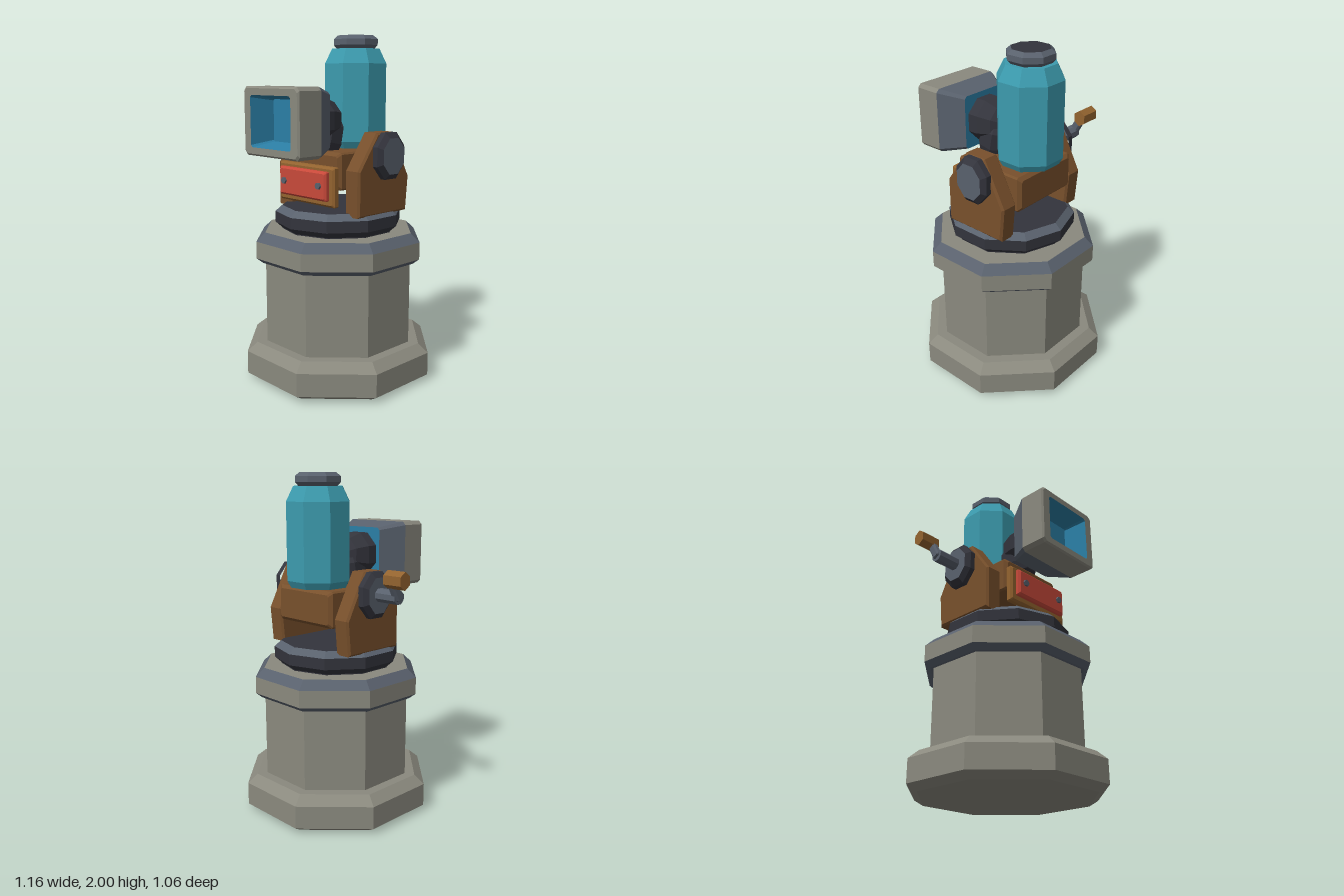
import * as THREE from 'three';

const GREY = 0x8a897e, SLATE = 0x59616d, DARK = 0x33343c, BROWN = 0x78502c,
  TAN = 0x93632f, TEAL = 0x3c9bae, BLUE = 0x2b7fa6, RED = 0xc8493a;

function mesh(name, geometry, color) {
  const m = new THREE.Mesh(geometry, new THREE.MeshStandardMaterial({ color, flatShading: true }));
  m.name = name;
  return m;
}

// Faceted solid of revolution; rows are [radius, y] from bottom to top
function turned(name, color, sides, rows, flatFront = true) {
  const k = flatFront ? 1 / Math.cos(Math.PI / sides) : 1;
  const pts = rows.map(([r, y]) => new THREE.Vector2(r * k, y));
  return mesh(name, new THREE.LatheGeometry(pts, sides, flatFront ? Math.PI / sides : 0), color);
}

// Skin over corner-cut rectangles; sections are [z, halfWidth, halfHeight, cornerCut]
function loft(name, color, sections) {
  const pos = [], idx = [];
  for (const [z, w, h, c] of sections) {
    for (const [x, y] of [[w, -h + c], [w, h - c], [w - c, h], [c - w, h],
      [-w, h - c], [-w, c - h], [c - w, -h], [w - c, -h]]) pos.push(x, y, z);
  }
  for (let k = 0; k < sections.length - 1; k++) {
    for (let i = 0; i < 8; i++) {
      const a = k * 8 + i, b = k * 8 + (i + 1) % 8;
      idx.push(a, b, b + 8, a, b + 8, a + 8);
    }
  }
  const g = new THREE.BufferGeometry();
  g.setAttribute('position', new THREE.Float32BufferAttribute(pos, 3));
  g.setIndex(idx);
  g.computeVertexNormals();
  return mesh(name, g, color);
}

// Box with bevelled edges
function block(name, color, w, h, d, b) {
  const x = w / 2, y = h / 2, z = d / 2;
  return loft(name, color, [[-z, 0, 0, 0], [-z, x - b, y - b, b / 2], [b - z, x, y, b / 2],
    [z - b, x, y, b / 2], [z, x - b, y - b, b / 2], [z, 0, 0, 0]]);
}

export function createModel() {
  const model = new THREE.Group();
  const body = new THREE.Group();
  body.name = 'machine';
  body.position.x = 0.047;
  model.add(body);
  const add = (m, x = 0, y = 0, z = 0) => { m.position.set(x, y, z); body.add(m); return m; };

  // Pedestal
  add(turned('foot', GREY, 8, [[0, 0], [0.477, 0], [0.531, 0.035], [0.531, 0.17], [0.475, 0.22], [0, 0.22]]));
  add(turned('column', GREY, 8, [[0.418, 0.21], [0.418, 0.71]]));
  add(turned('rimUnderside', SLATE, 8, [[0, 0.70], [0.435, 0.70], [0.47, 0.73]]));
  add(turned('rim', GREY, 8, [[0.47, 0.73], [0.47, 0.83]]));
  add(turned('rimBevel', SLATE, 8, [[0.47, 0.83], [0.42, 0.88]]));
  add(turned('rimTop', GREY, 8, [[0.42, 0.88], [0, 0.88]]));

  // Turntable
  add(turned('turntable', DARK, 10, [[0.335, 0.87], [0.335, 0.885], [0.375, 0.92], [0.375, 0.985]], false));
  add(turned('turntableBevel', SLATE, 10, [[0.375, 0.985], [0.335, 1.02]], false));
  add(turned('turntableTop', DARK, 10, [[0.335, 1.02], [0, 1.02]], false));

  // Cradle body and front plate
  add(block('cradle', BROWN, 0.45, 0.21, 0.47, 0.02), 0, 1.25, -0.025);
  add(block('frontPlate', TAN, 0.46, 0.225, 0.05, 0.012), 0, 1.167, 0.235);
  add(block('redPanel', RED, 0.395, 0.165, 0.04, 0.012), 0, 1.173, 0.272);
  for (const s of [-1, 1]) {
    add(turned('bolt', SLATE, 6, [[0.017, 0], [0.017, 0.02], [0, 0.02]]), s * 0.146, 1.175, 0.285)
      .rotation.x = Math.PI / 2;
  }

  // Side brackets with hubs
  const b = 0.012;
  const outline = [[0.165, 1.01], [0.165, 1.255], [0.025, 1.452], [-0.1, 1.452], [-0.232, 1.2], [-0.215, 1.01]];
  const side = new THREE.Shape(outline.map(([z, y]) => new THREE.Vector2(z, y)));
  const bracket = new THREE.ExtrudeGeometry(side, {
    depth: 0.11 - 2 * b, bevelThickness: b, bevelSize: b, bevelSegments: 1, bevelOffset: -0.002,
  });
  bracket.translate(0, 0, b - 0.055).rotateY(-Math.PI / 2);
  for (const s of [-1, 1]) {
    add(mesh('bracket', bracket, BROWN), s * 0.285);
    const hub = new THREE.Group();
    hub.name = 'hub';
    hub.add(turned('hubRing', DARK, 8, [[0.13, 0], [0.13, 0.035], [0.1, 0.06]]),
      turned('hubFace', SLATE, 8, [[0.1, 0.06], [0, 0.06]]));
    hub.scale.set(1, 1, 0.85);
    hub.rotation.z = -s * Math.PI / 2;
    add(hub, s * 0.337, 1.333, -0.045);
  }

  // Crank on the right side
  add(turned('crankShaft', SLATE, 8, [[0, 0], [0.037, 0], [0.037, 0.15], [0, 0.15]]), -0.39, 1.338, -0.047)
    .rotation.z = Math.PI / 2;
  const arm = add(block('crankArm', SLATE, 0.045, 0.14, 0.05, 0.01), -0.53, 1.385, -0.075);
  arm.rotation.x = -0.5;
  const grip = add(turned('crankHandle', TAN, 6,
    [[0, 0], [0.043, 0], [0.043, 0.123], [0, 0.123]]), -0.507, 1.442, -0.105);
  grip.rotation.z = Math.PI / 2;
  grip.scale.z = 0.85;

  // Tank with cap
  const tz = -0.14;
  add(turned('tank', TEAL, 8, [[0, 1.355], [0.156, 1.355], [0.177, 1.395], [0.177, 1.84],
    [0.137, 1.925], [0, 1.925]]), 0, 0, tz);
  add(turned('cap', SLATE, 8, [[0.105, 1.92], [0.127, 1.945], [0.127, 1.978], [0.103, 2]]), 0, 0, tz);
  add(turned('capTop', DARK, 8, [[0.103, 2], [0, 2]]), 0, 0, tz);

  // Viewer: neck, hood, frame and recessed screen
  const vy = 1.525;
  const strut = add(turned('neckStrut', DARK, 8,
    [[0, 0], [0.085, 0], [0.1, 0.05], [0.1, 0.15], [0.07, 0.2], [0, 0.2]]), 0, 1.345, 0.125);
  strut.rotation.x = -0.2;
  add(turned('neck', DARK, 8, [[0, -0.21], [0.125, -0.21], [0.125, -0.15], [0.097, -0.07],
    [0.06, -0.035], [0, -0.035]]), 0, vy).rotation.x = -Math.PI / 2;
  add(loft('hoodBack', BLUE, [[0.21, 0, 0, 0], [0.21, 0.15, 0.158, 0.015]]), 0, vy);
  add(loft('hood', SLATE, [[0.21, 0.15, 0.158, 0.015], [0.35, 0.232, 0.19, 0.02]]), 0, vy);
  add(loft('frame', GREY, [[0.35, 0.232, 0.19, 0.02], [0.5, 0.232, 0.19, 0.02], [0.51, 0.222, 0.18, 0.02],
    [0.51, 0.17, 0.143, 0.012]]), 0, vy);
  add(loft('screen', BLUE, [[0.51, 0.17, 0.143, 0.012], [0.37, 0.14, 0.118, 0.008], [0.37, 0, 0, 0]]), 0, vy);

  return model;
}
